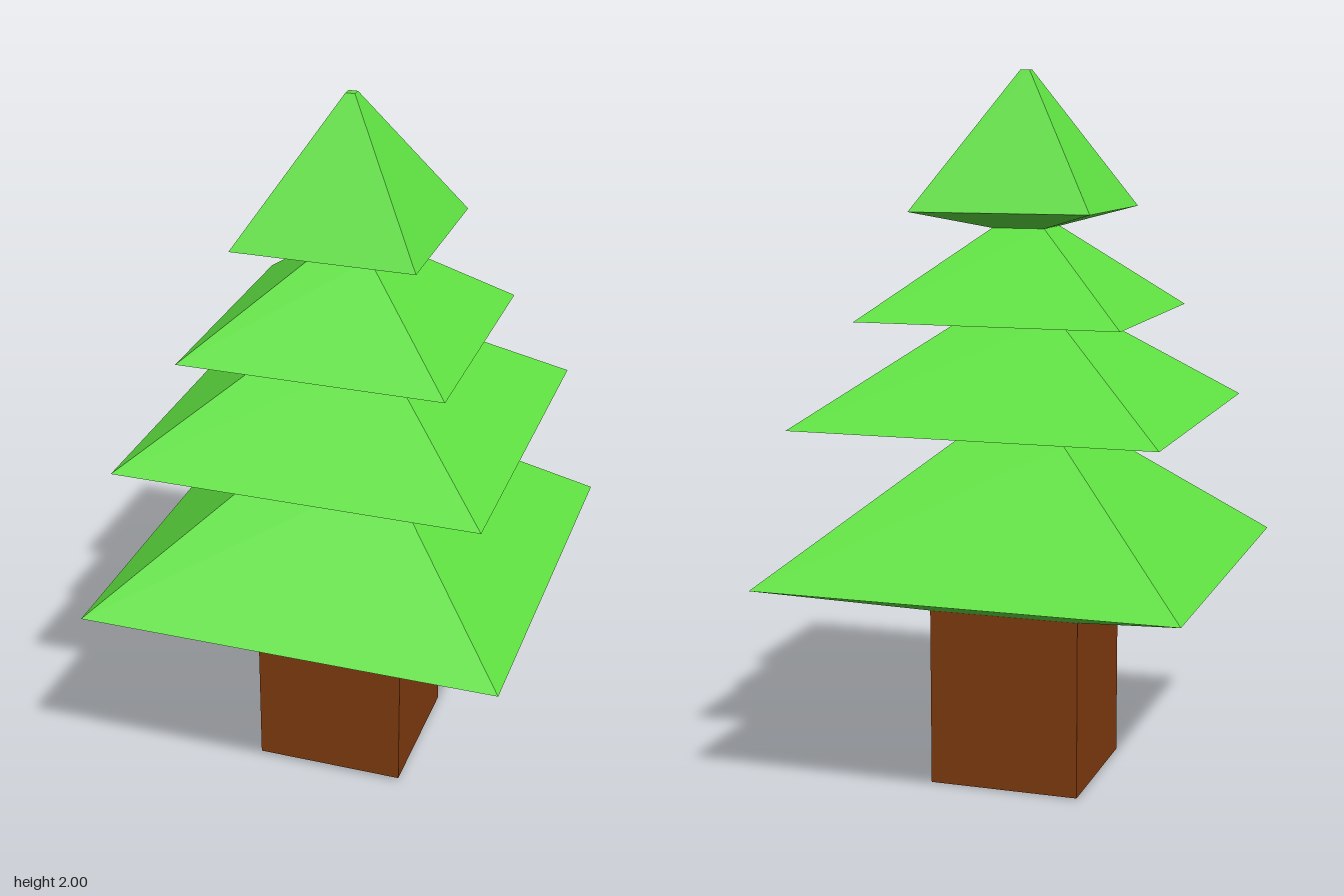
import * as THREE from 'three';

// Lofts a closed solid through rectangular rings [y, halfWidthX, halfDepthZ], bottom to top
function loft(rings) {
  const signs = [[1, 1], [1, -1], [-1, -1], [-1, 1]];
  const corners = rings.map(([y, hx, hz = hx]) => signs.map(([sx, sz]) => [sx * hx, y, sz * hz]));
  const positions = [];
  const quad = (a, b, c, d) => positions.push(...a, ...b, ...c, ...a, ...c, ...d);
  for (let r = 0; r < corners.length - 1; r++) {
    const low = corners[r], high = corners[r + 1];
    for (let i = 0; i < 4; i++) {
      const j = (i + 1) % 4;
      quad(low[i], low[j], high[j], high[i]);
    }
  }
  const [b, t] = [corners[0], corners[corners.length - 1]];
  quad(b[3], b[2], b[1], b[0]);
  quad(t[0], t[1], t[2], t[3]);
  const geometry = new THREE.BufferGeometry();
  geometry.setAttribute('position', new THREE.Float32BufferAttribute(positions, 3));
  geometry.computeVertexNormals();
  return geometry;
}

export function createModel() {
  const tree = new THREE.Group();
  tree.name = 'pineTree';

  const bark = new THREE.MeshStandardMaterial({ color: 0x803b0f });
  bark.name = 'barkBrown';
  const needles = new THREE.MeshStandardMaterial({ color: 0x5fe041 });
  needles.name = 'needleGreen';

  const add = (name, geometry, material) => {
    const mesh = new THREE.Mesh(geometry, material);
    mesh.name = name;
    tree.add(mesh);
    return mesh;
  };

  // Square trunk
  add('trunk', new THREE.BoxGeometry(0.43, 0.505, 0.43), bark).position.y = 0.2525;

  // Foliage tiers: narrow neck, wide rim, narrow top
  const tiers = {
    bottomTier: [[0.505, 0.215], [0.625, 0.59], [0.985, 0.155]],
    lowerMiddleTier: [[0.985, 0.155], [1.05, 0.51, 0.43], [1.05, 0.51], [1.33, 0.13]],
    upperMiddleTier: [[1.33, 0.37], [1.57, 0.075]],
    topTier: [[1.57, 0.075], [1.62, 0.255], [2, 0.013]],
  };
  for (const [name, rings] of Object.entries(tiers)) add(name, loft(rings), needles);

  return tree;
}
